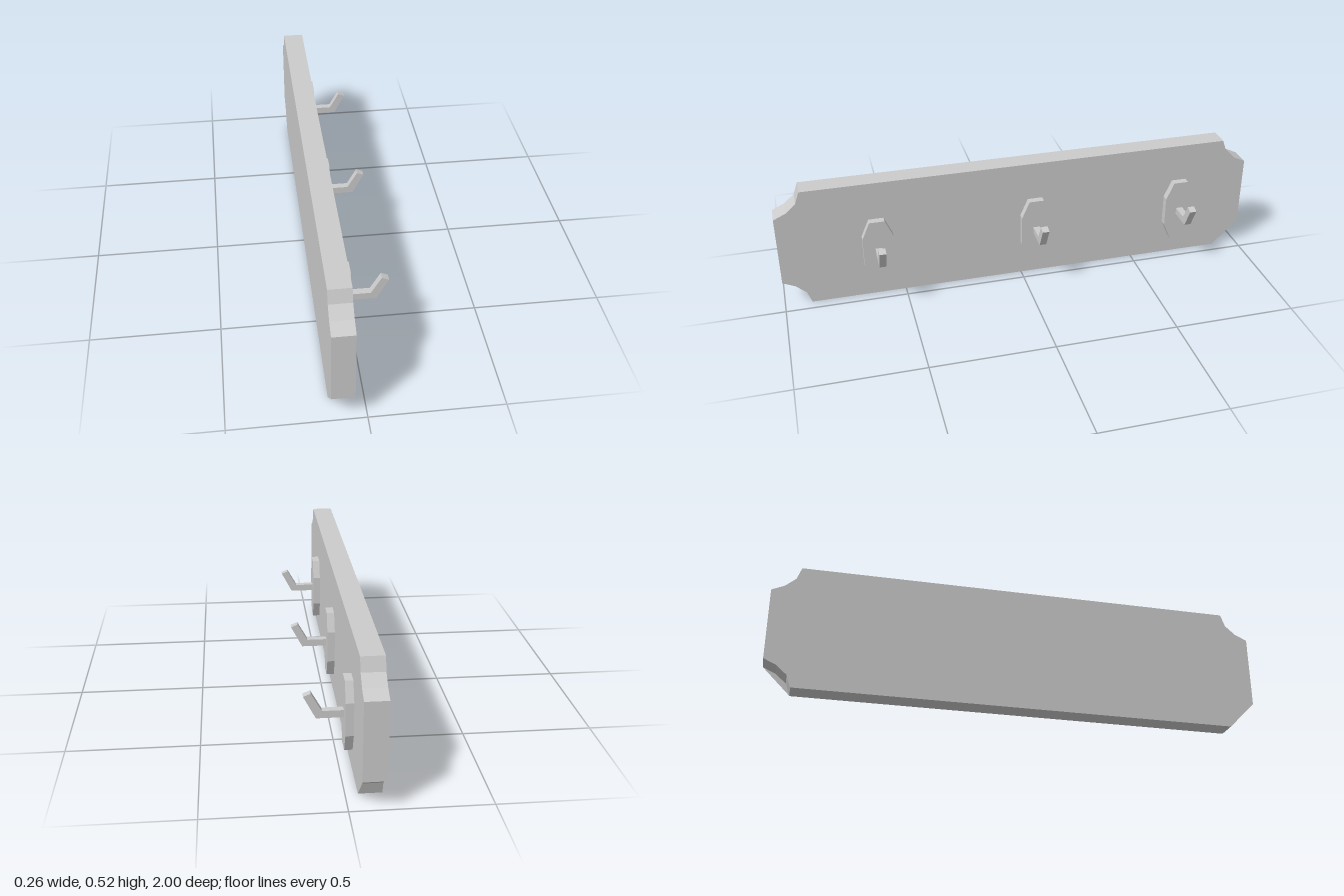
import * as THREE from 'three';

const material = new THREE.MeshStandardMaterial({ color: 0xcccccc, flatShading: true, side: THREE.DoubleSide });

const BACK = -0.13, FACE = -0.045, HEIGHT = 0.516;

const toShape = (points) => new THREE.Shape(points.map(([u, v]) => new THREE.Vector2(u, v)));

// Outline drawn in (-z, y), given thickness along +x
function slab(name, points, x, depth) {
  const shape = toShape(points);
  const geometry = depth > 0
    ? new THREE.ExtrudeGeometry(shape, { depth, bevelEnabled: false })
    : new THREE.ShapeGeometry(shape);
  geometry.rotateY(Math.PI / 2);
  const mesh = new THREE.Mesh(geometry, material);
  mesh.name = name;
  mesh.position.x = x;
  return mesh;
}

export function createModel() {
  const group = new THREE.Group();
  group.name = 'wallHookRack';

  // Board with a scooped notch at each corner
  const scoop = [[0.89, 0], [0.908, 0.05], [0.95, 0.087], [1, 0.11]];
  const flipU = (points) => points.map(([u, v]) => [-u, v]);
  const flipV = (points) => points.map(([u, v]) => [u, HEIGHT - v]);
  const outline = [
    ...scoop,
    ...flipV(scoop).reverse(),
    ...flipU(flipV(scoop)),
    ...flipU(scoop).reverse(),
  ];
  group.add(slab('board', outline, BACK, FACE - BACK));

  // Thin webs closing the lower notches on one face at each end
  group.add(slab('leftCornerWeb', flipU(scoop), BACK, 0));
  group.add(slab('rightCornerWeb', scoop, FACE, 0));

  // Hooks, each on an elongated octagonal plate
  const plate = [
    [0.031, 0.083], [0.063, 0.155], [0.063, 0.282], [0.031, 0.355],
    [-0.031, 0.355], [-0.063, 0.282], [-0.063, 0.155], [-0.031, 0.083],
  ];
  const hookProfile = [
    [-0.015, 0.205], [0.084, 0.205], [0.129, 0.291],
    [0.102, 0.302], [0.063, 0.233], [-0.015, 0.233],
  ];
  const hookWidth = 0.028;
  for (const z of [0.602, -0.06, -0.7]) {
    const unit = new THREE.Group();
    unit.name = 'hookUnit';
    unit.position.z = z;
    unit.add(slab('hookPlate', plate, FACE, 0.03));

    const geometry = new THREE.ExtrudeGeometry(toShape(hookProfile), { depth: hookWidth, bevelEnabled: false });
    geometry.translate(0, 0, -hookWidth / 2);
    const hook = new THREE.Mesh(geometry, material);
    hook.name = 'hook';
    unit.add(hook);
    group.add(unit);
  }
  return group;
}
